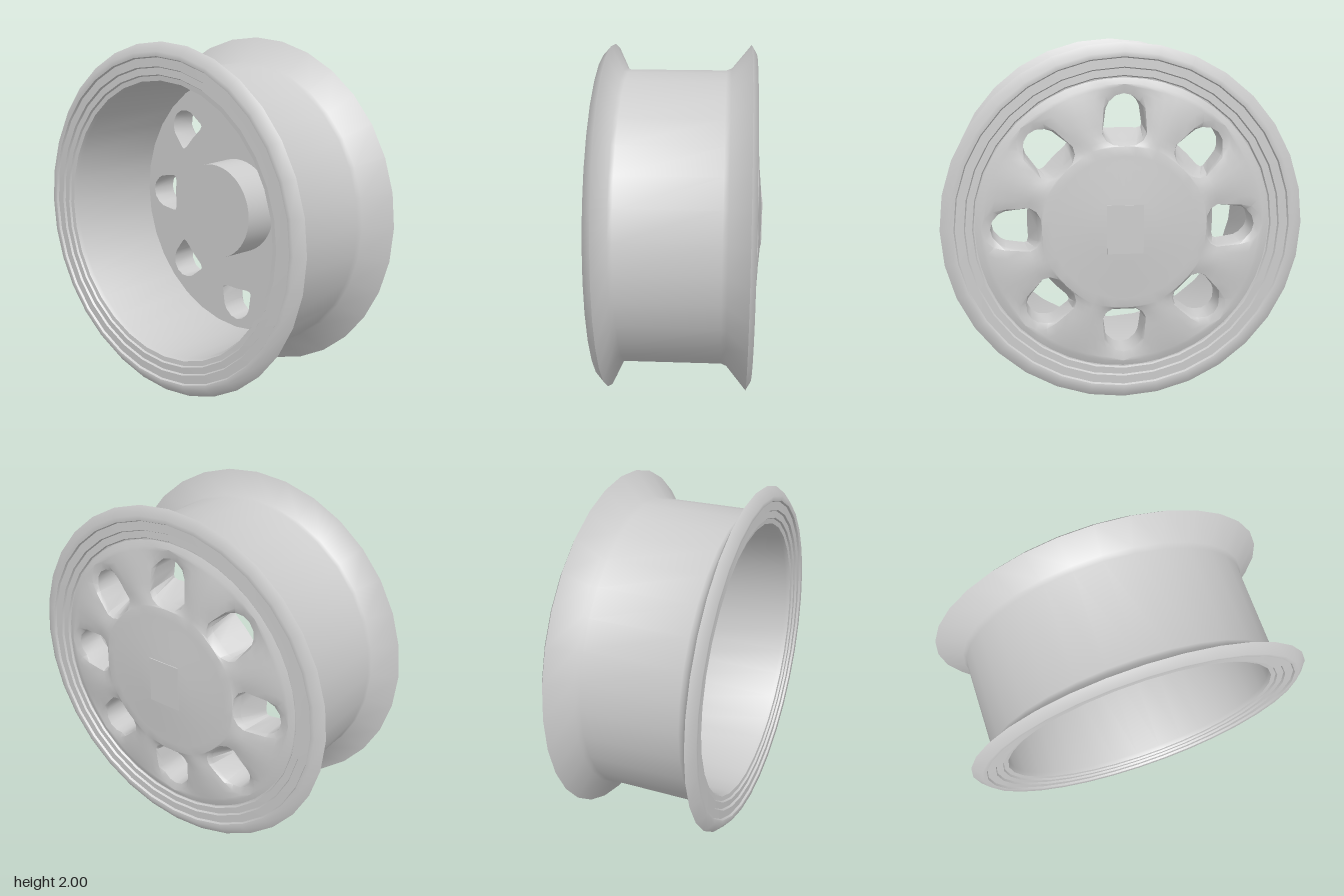
import * as THREE from 'three';
import { toCreasedNormals } from 'three/addons/utils/BufferGeometryUtils.js';

const WINDOWS = 8;
const STEPS = 6; // angular steps per spoke
const SECTOR = (Math.PI * 2) / WINDOWS;

// Rows of [radius, half width of window, x]; a half width of 0 means a full ring
const frontRows = [
  [0, 0, 0.449], [0.18, 0, 0.442], [0.33, 0, 0.428], [0.4, 0, 0.424],
  [0.452, 0, 0.42], [0.46, 0.06, 0.419], [0.49, 0.1, 0.417], [0.53, 0.121, 0.414],
  [0.58, 0.118, 0.41], [0.66, 0.113, 0.402], [0.72, 0.1, 0.393], [0.76, 0.06, 0.385],
  [0.78, 0, 0.38], [0.83, 0, 0.358],
];
// window outline just behind the face: sloped at the hub, a shallow ledge at the rim
const ledgeRows = [
  [0.475, 0, 0.37], [0.48, 0.07, 0.37], [0.505, 0.1, 0.37], [0.54, 0.117, 0.37],
  [0.6, 0.108, 0.37], [0.66, 0.1, 0.37], [0.69, 0.083, 0.37], [0.72, 0.045, 0.37],
  [0.73, 0, 0.37],
];
// back of the face, with a round boss in the middle
const backRows = [
  [0, 0, -0.01], [0.28, 0, -0.01], [0.285, 0, 0.205], [0.45, 0, 0.205],
  [0.53, 0, 0.205], [0.533, 0.085, 0.205], [0.545, 0.11, 0.205], [0.56, 0.115, 0.205],
  [0.61, 0.108, 0.205], [0.66, 0.1, 0.205], [0.69, 0.083, 0.205], [0.72, 0.045, 0.205],
  [0.73, 0, 0.205], [0.82, 0, 0.205],
];
const FIRST = 4; // first row that borders a window

// Adds a grid of points as triangles, leaving out collapsed ones
function addGrid(out, grid, flip) {
  const tri = (a, b, c) => {
    const area = b.clone().sub(a).cross(c.clone().sub(a)).length();
    if (area < 1e-8) return;
    for (const p of flip ? [a, c, b] : [a, b, c]) out.push(p.x, p.y, p.z);
  };
  for (let i = 0; i < grid.length - 1; i++) {
    for (let j = 0; j < grid[i].length - 1; j++) {
      const a = grid[i][j], b = grid[i + 1][j], c = grid[i + 1][j + 1], d = grid[i][j + 1];
      tri(a, b, c);
      tri(a, c, d);
    }
  }
}

// One surface of a spoke sector; its edges dip towards the windows
function spokeGrid(rows, start, dip) {
  return rows.map(([r, hw, x]) => {
    const cut = hw > 0 ? Math.asin(hw / r) : 0;
    return Array.from({ length: STEPS + 1 }, (_, j) => {
      const t = j / STEPS;
      const a = start + cut + t * (SECTOR - 2 * cut);
      const drop = dip * (hw / 0.12) * (1 - Math.sin(Math.PI * t));
      return new THREE.Vector3(x - drop, r * Math.cos(a), r * Math.sin(a));
    });
  });
}

// Domed face with eight windows
function faceGeometry() {
  const out = [];
  for (let k = 0; k < WINDOWS; k++) {
    const front = spokeGrid(frontRows, k * SECTOR, 0.012);
    const ledge = spokeGrid(ledgeRows, k * SECTOR, 0);
    const back = spokeGrid(backRows, k * SECTOR, 0);
    addGrid(out, front, false);
    addGrid(out, back, true);
    for (const j of [0, STEPS]) {
      const wall = ledge.map((row, i) => [front[FIRST + i][j], row[j], back[FIRST + i][j]]);
      addGrid(out, wall, j === 0);
    }
  }
  const g = new THREE.BufferGeometry();
  g.setAttribute('position', new THREE.Float32BufferAttribute(out, 3));
  return toCreasedNormals(g, 0.6);
}

// Closed rim section as [x, radius], turned about the x axis
function rimGeometry() {
  // stepped lip as [depth from the end, radius], used at both ends
  const lip = [
    [0, 0.95], [0.003, 0.924], [0.015, 0.918], [0.013, 0.87], [0.025, 0.864],
    [0.023, 0.826], [0.034, 0.82], [0.036, 0.793], [0.06, 0.783],
  ];
  const profile = [
    [-0.41, 1], [-0.345, 0.862], [-0.32, 0.855], [0.23, 0.855], [0.26, 0.867], [0.37, 1],
    ...lip.map(([d, r]) => [0.4 - d, r]),
    ...lip.map(([d, r]) => [-0.455 + d, r]).reverse(),
    [-0.41, 1],
  ].map(([x, r]) => new THREE.Vector2(r, x));
  const g = new THREE.LatheGeometry(profile, 32);
  g.rotateZ(-Math.PI / 2);
  return toCreasedNormals(g, 0.95);
}

export function createModel() {
  const metal = new THREE.MeshStandardMaterial({ color: 0xcccccc });
  metal.name = 'silver metal';
  const wheel = new THREE.Group();
  wheel.name = 'wheelRim';

  const add = (name, geometry) => {
    const mesh = new THREE.Mesh(geometry, metal);
    mesh.name = name;
    wheel.add(mesh);
    return mesh;
  };
  add('rim', rimGeometry());
  add('spokedFace', faceGeometry());
  // thin plate at the middle of the hub
  add('centrePlate', new THREE.BoxGeometry(0.005, 0.27, 0.2)).position.x = 0.447;

  wheel.position.y = 1;
  const model = new THREE.Group();
  model.name = 'wheel';
  model.add(wheel);
  return model;
}
